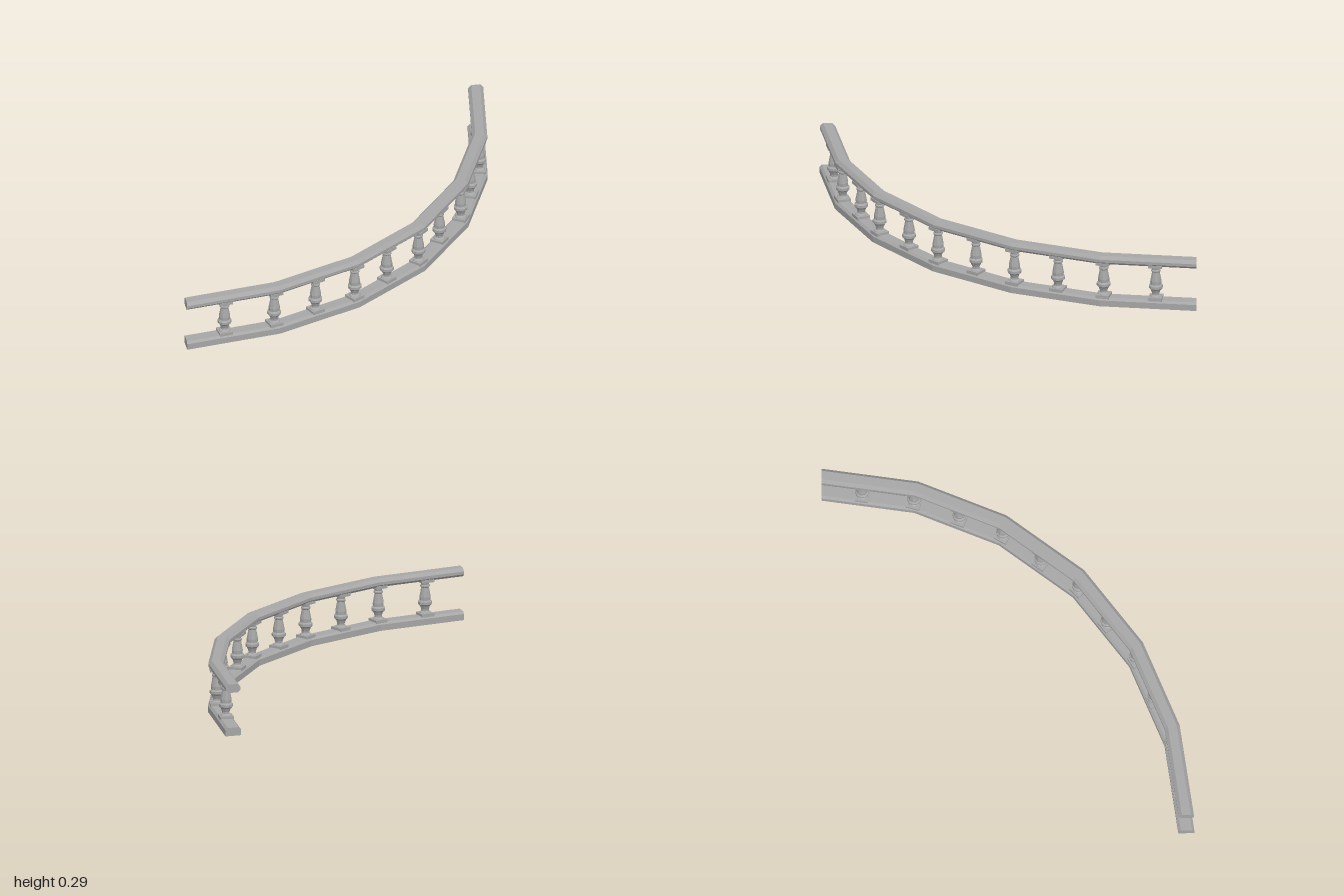
import * as THREE from 'three';

const stone = new THREE.MeshStandardMaterial({ color: 0xa6a6a6, flatShading: true });
stone.name = 'grey stone';

// Plan of the curve, [x, z], mirrored about the diagonal
const path = [[-1, 0.956], [-0.49, 0.882], [-0.025, 0.69], [0.382, 0.382],
  [0.69, -0.025], [0.882, -0.49], [0.956, -1]].map(p => new THREE.Vector2(...p));

// Outward normal of each straight run
const normals = path.slice(1).map((p, i) => {
  const d = p.clone().sub(path[i]).normalize();
  return new THREE.Vector2(-d.y, d.x);
});

// Mitre vectors at the corners; the two ends are cut square to the axes
const mitres = path.map((p, i) => {
  const last = path.length - 1;
  const m = i === 0 ? new THREE.Vector2(0, 1)
    : i === last ? new THREE.Vector2(1, 0)
      : normals[i - 1].clone().add(normals[i]).normalize();
  return m.divideScalar(m.dot(normals[Math.min(i, last - 1)]));
});

// Sweeps a convex section of [outward offset, y] along the plan
function sweep(section, name) {
  const pos = [];
  const at = (i, k) => {
    const [o, y] = section[k % section.length];
    return [path[i].x + mitres[i].x * o, y, path[i].y + mitres[i].y * o];
  };
  const tri = (a, b, c) => pos.push(...a, ...b, ...c);
  const n = section.length;
  const last = path.length - 1;
  for (let i = 0; i < last; i++) {
    for (let k = 0; k < n; k++) {
      const a = at(i, k), b = at(i + 1, k), c = at(i + 1, k + 1), d = at(i, k + 1);
      tri(a, c, b);
      tri(a, d, c);
    }
  }
  // End faces
  for (let k = 1; k < n - 1; k++) {
    tri(at(0, 0), at(0, k + 1), at(0, k));
    tri(at(last, 0), at(last, k), at(last, k + 1));
  }
  const g = new THREE.BufferGeometry();
  g.setAttribute('position', new THREE.Float32BufferAttribute(pos, 3));
  g.computeVertexNormals();
  const mesh = new THREE.Mesh(g, stone);
  mesh.name = name;
  return mesh;
}

// Half-profile of the turned post, [radius, y]
const postProfile = [[0.034, 0.056], [0.03, 0.064], [0.021, 0.07], [0.021, 0.08],
  [0.028, 0.098], [0.038, 0.108], [0.038, 0.122], [0.03, 0.13], [0.031, 0.148],
  [0.021, 0.2], [0.026, 0.205], [0.026, 0.212], [0.021, 0.216], [0.024, 0.228], [0.034, 0.234]];
const postGeometry = new THREE.LatheGeometry(postProfile.map(p => new THREE.Vector2(...p)), 10);
const footGeometry = new THREE.BoxGeometry(0.074, 0.018, 0.074);
const capGeometry = new THREE.BoxGeometry(0.074, 0.016, 0.074);

function baluster(x, z, angle) {
  const g = new THREE.Group();
  g.name = 'baluster';
  const add = (geometry, y, name) => {
    const m = new THREE.Mesh(geometry, stone);
    m.position.y = y;
    m.name = name;
    g.add(m);
  };
  add(footGeometry, 0.05, 'balusterFoot');
  add(postGeometry, 0, 'balusterPost');
  add(capGeometry, 0.239, 'balusterCap');
  g.position.set(x, 0, z);
  g.rotation.y = THREE.MathUtils.degToRad(angle);
  return g;
}

export function createModel() {
  const model = new THREE.Group();
  model.name = 'curvedBalustrade';

  // Kerb with bevelled top edges
  model.add(sweep([[-0.043, 0], [-0.043, 0.034], [-0.03, 0.046], [0.03, 0.046],
    [0.043, 0.034], [0.043, 0]], 'baseRail'));
  // Handrail with bevels above and below
  model.add(sweep([[-0.026, 0.24], [-0.041, 0.254], [-0.041, 0.27], [-0.024, 0.287],
    [0.024, 0.287], [0.041, 0.27], [0.041, 0.254], [0.026, 0.24]], 'handrail'));

  // Balusters [x, z, turn in degrees]: half the curve, mirrored about the diagonal
  const half = [[-0.782, 0.924, 8.3], [-0.502, 0.882, 15], [-0.258, 0.786, 22.4],
    [-0.025, 0.69, 30], [0.18, 0.535, 37.1]];
  for (const [x, z, turn] of half) {
    model.add(baluster(x, z, turn), baluster(z, x, 90 - turn));
  }
  model.add(baluster(0.382, 0.382, 45));
  return model;
}
